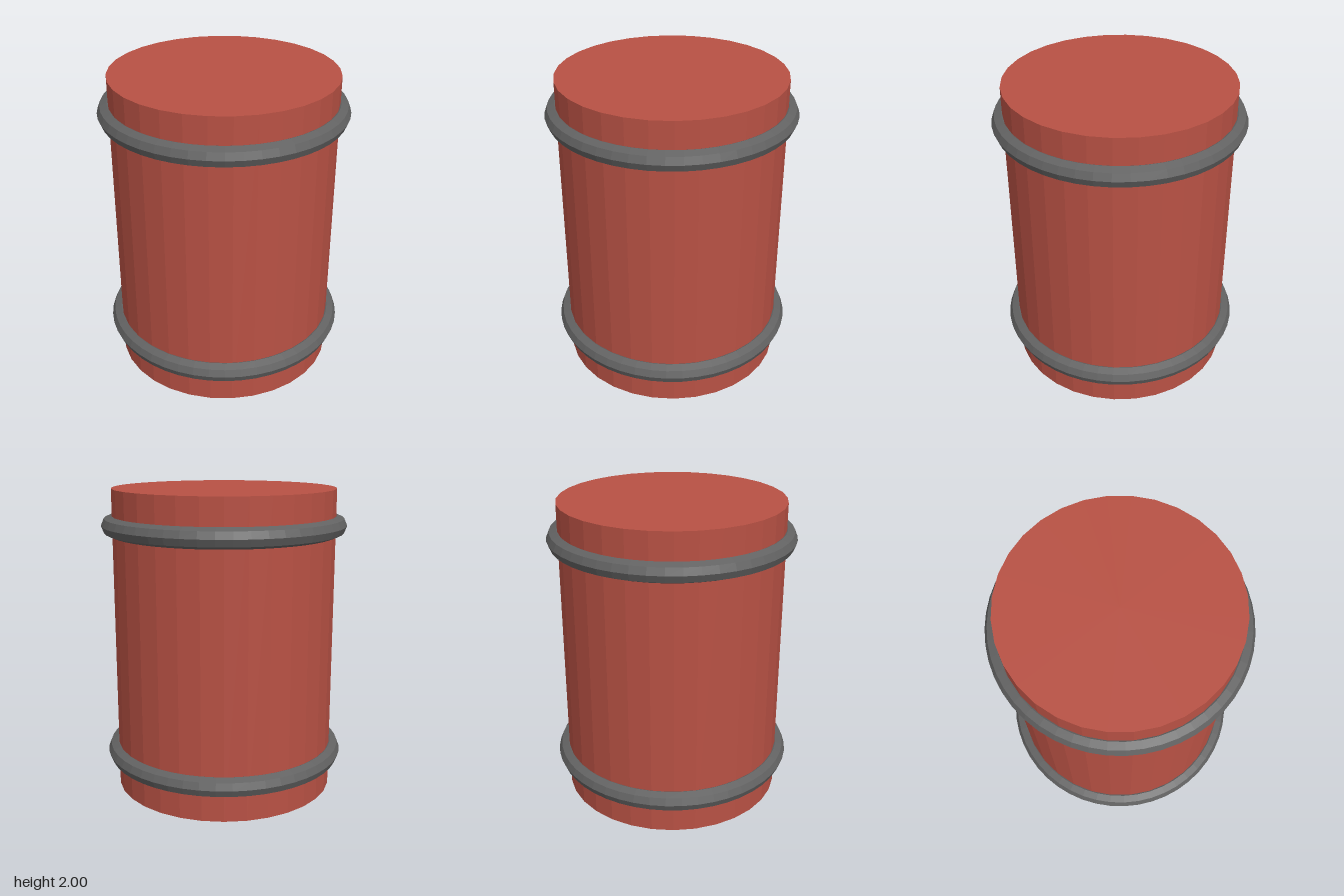
import * as THREE from 'three';

export function createModel() {
  const model = new THREE.Group();
  const red = new THREE.MeshStandardMaterial({ color: 0xb85144 });
  red.name = 'brick red';
  red.flatShading = true;
  const grey = new THREE.MeshStandardMaterial({ color: 0x626262 });
  grey.name = 'dark grey';
  grey.flatShading = true;

  // Barrel body
  const body = new THREE.Mesh(new THREE.CylinderGeometry(0.727, 0.727, 2, 32), red);
  body.name = 'barrelBody';
  body.position.y = 1;
  model.add(body);

  // Rounded hoops near both ends
  const hoopGeometry = new THREE.TorusGeometry(0.733, 0.064, 8, 48).rotateX(Math.PI / 2);
  for (const [name, y] of [['lowerHoop', 0.237], ['upperHoop', 1.765]]) {
    const hoop = new THREE.Mesh(hoopGeometry, grey);
    hoop.name = name;
    hoop.position.y = y;
    model.add(hoop);
  }
  return model;
}
